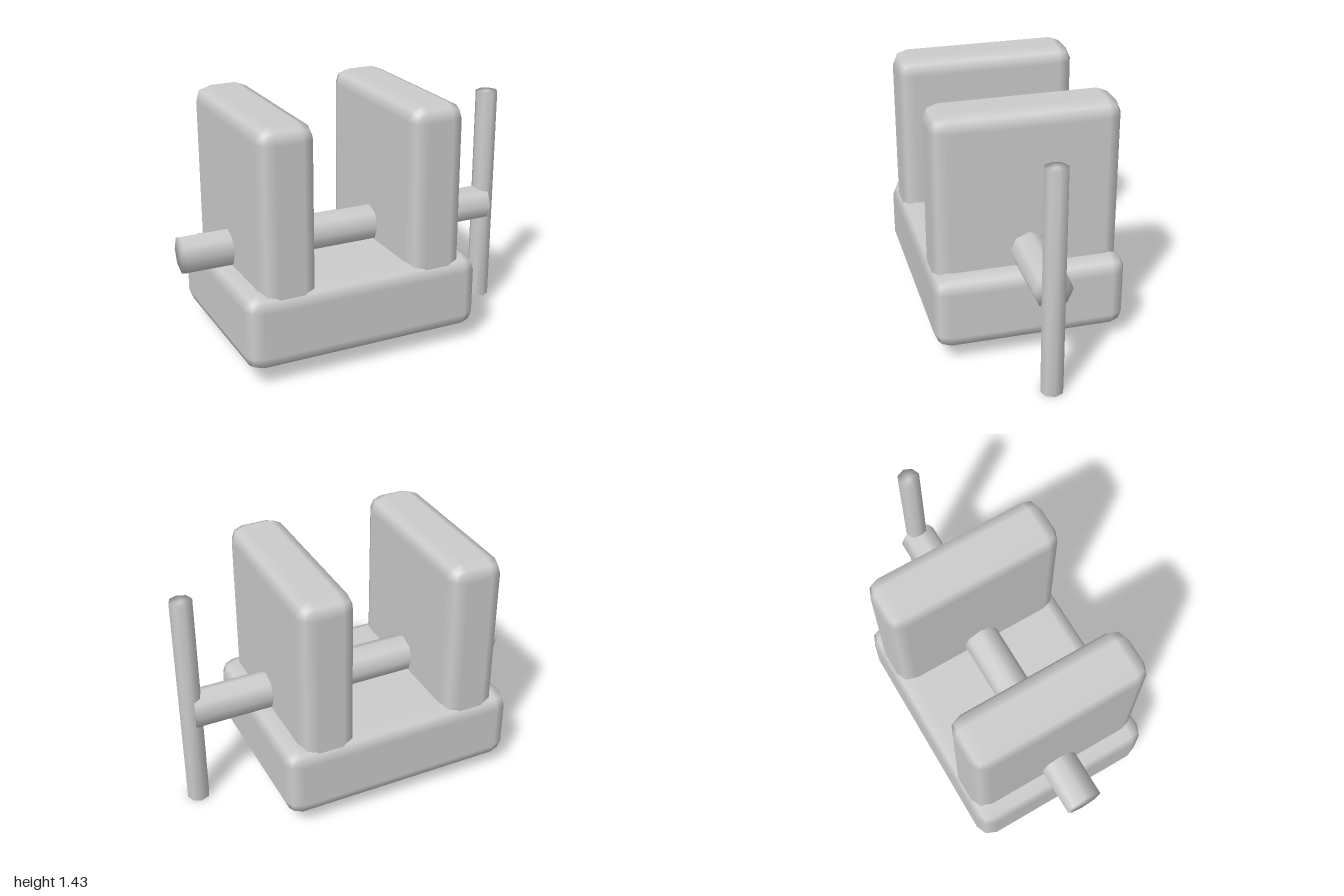
import * as THREE from 'three';
import { RoundedBoxGeometry } from 'three/addons/geometries/RoundedBoxGeometry.js';
import { mergeVertices } from 'three/addons/utils/BufferGeometryUtils.js';

export function createModel() {
  const group = new THREE.Group();
  const steel = new THREE.MeshStandardMaterial({ color: 0xcccccc });
  steel.name = 'steel grey';

  // Bevelled block spanning the given x and y ranges, centred on z
  function block(name, x0, x1, y0, y1, depth) {
    const mesh = new THREE.Mesh(new RoundedBoxGeometry(x1 - x0, y1 - y0, depth, 1, 0.088), steel);
    mesh.position.set((x0 + x1) / 2, (y0 + y1) / 2, 0);
    mesh.name = name;
    group.add(mesh);
  }

  // Eight-sided rod, with shading blended over its end caps
  function rod(name, radius, length, x, y) {
    let geometry = new THREE.CylinderGeometry(radius, radius, length, 8);
    geometry.deleteAttribute('normal');
    geometry.deleteAttribute('uv');
    geometry = mergeVertices(geometry);
    geometry.computeVertexNormals();
    const mesh = new THREE.Mesh(geometry, steel);
    mesh.position.set(x, y, 0);
    mesh.name = name;
    group.add(mesh);
    return mesh;
  }

  // Vise body
  block('base', -0.82, 0.58, 0.09, 0.53, 1.1);
  block('rightJaw', -0.725, -0.4, 0.36, 1.43, 1.055);
  block('leftJaw', 0.155, 0.48, 0.36, 1.43, 1.055);

  // Clamping screw along x and its upright turning handle
  rod('screw', 0.108, 1.93, -0.035, 0.617).rotation.z = -Math.PI / 2;
  rod('handle', 0.065, 1.32, 0.935, 0.66);

  return group;
}
